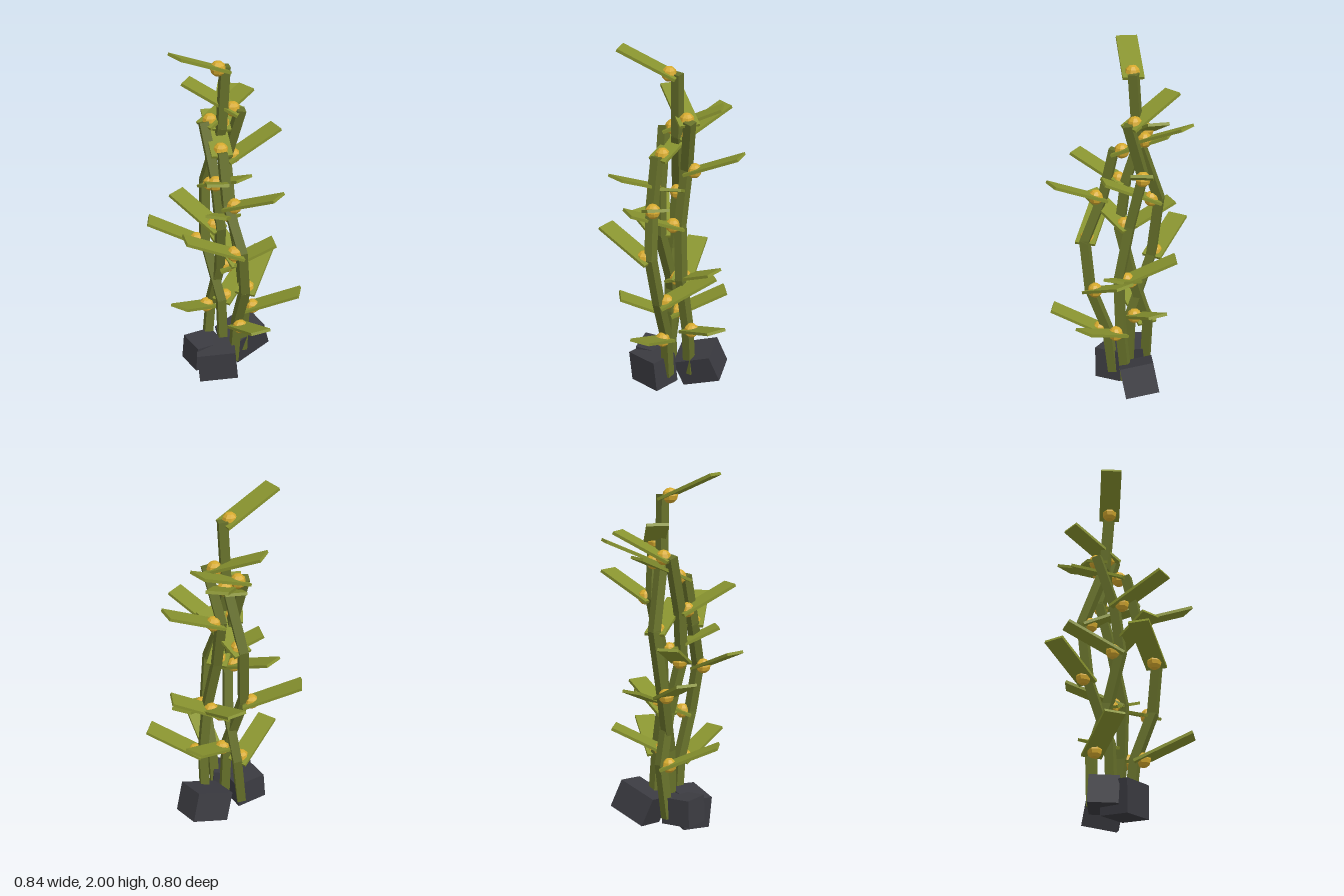
import * as THREE from 'three';

const mat = (name, color) => {
  const m = new THREE.MeshStandardMaterial({ color, flatShading: true });
  m.name = name;
  return m;
};

// Each stalk: base point, then joints [x, y, z, blade heading in degrees from +x toward +z]
const STALKS = [
  { base: [0.02, 0.1, 0.05], joints: [
    [0.03, 0.37, 0.08, 80], [0.05, 0.63, 0.175, -54], [0.025, 0.9, 0.21, 180],
    [-0.035, 1.16, 0.12, 46], [-0.045, 1.43, 0.06, -87]] },
  { base: [-0.02, 0.1, -0.03], joints: [
    [-0.03, 0.46, -0.04, -43], [-0.1, 0.81, -0.14, -165], [-0.085, 1.16, -0.185, 61],
    [-0.015, 1.52, -0.08, -69], [0, 1.87, -0.06, 158]] },
  { base: [0.1, 0.1, -0.05], joints: [
    [0.105, 0.41, -0.02, 24], [0.075, 0.71, 0, -109], [0.03, 1.02, -0.05, 119],
    [0.02, 1.32, -0.12, -13], [0.085, 1.62, -0.055, -146]] },
  { base: [-0.1, 0.1, -0.11], joints: [
    [-0.07, 0.4, -0.13, 137], [-0.035, 0.68, -0.05, 4], [-0.05, 0.97, 0.03, -128],
    [-0.07, 1.25, 0, 101], [-0.11, 1.55, -0.09, -28]] },
];

// Rocks: position, size, rotation
const ROCKS = [
  [[0.12, 0.135, -0.13], [0.23, 0.17, 0.19], [0.2, 0.35, 0.27]],
  [[-0.08, 0.12, 0.06], [0.22, 0.18, 0.16], [0.05, -0.2, 0.1]],
  [[-0.14, 0.14, -0.03], [0.18, 0.15, 0.16], [0.05, 0.3, -0.08]],
];

export function createModel() {
  const group = new THREE.Group();
  const stemMat = mat('stemGreen', 0x66702a);
  const bladeMat = mat('bladeGreen', 0x88932f);
  const floatMat = mat('floatYellow', 0xd6aa2e);
  const rockMat = mat('rockGrey', 0x3b3b41);

  const floatGeo = new THREE.SphereGeometry(0.042, 8, 6);
  // blade runs along +x from its root
  const bladeGeo = new THREE.BoxGeometry(0.345, 0.016, 0.115).translate(0.1725, 0, 0);
  const up = new THREE.Vector3(0, 1, 0);

  const add = (parent, name, geo, material) => {
    const mesh = new THREE.Mesh(geo, material);
    mesh.name = name;
    parent.add(mesh);
    return mesh;
  };

  STALKS.forEach(({ base, joints }, s) => {
    const stalk = new THREE.Group();
    stalk.name = `stalk${s + 1}`;
    group.add(stalk);
    let from = new THREE.Vector3(...base);
    joints.forEach(([x, y, z, heading]) => {
      // square stem segment up to this joint
      const to = new THREE.Vector3(x, y, z);
      const dir = to.clone().sub(from);
      const stem = add(stalk, 'stem', new THREE.BoxGeometry(0.05, dir.length() + 0.01, 0.05), stemMat);
      stem.position.copy(from).add(to).multiplyScalar(0.5);
      stem.quaternion.setFromUnitVectors(up, dir.normalize());
      from = to;

      // blade rising outward, with a float at its root
      const a = THREE.MathUtils.degToRad(heading);
      const blade = add(stalk, 'blade', bladeGeo, bladeMat);
      blade.position.set(x, y - 0.018, z);
      blade.rotation.set(0, -a, 0.42, 'YZX');
      const float = add(stalk, 'float', floatGeo, floatMat);
      float.position.set(x + 0.045 * Math.cos(a), y, z + 0.045 * Math.sin(a));
    });
  });

  // rocks holding the stalks down
  ROCKS.forEach(([p, size, r]) => {
    const rock = add(group, 'rock', new THREE.BoxGeometry(...size), rockMat);
    rock.position.set(...p);
    rock.rotation.set(...r);
  });
  return group;
}
